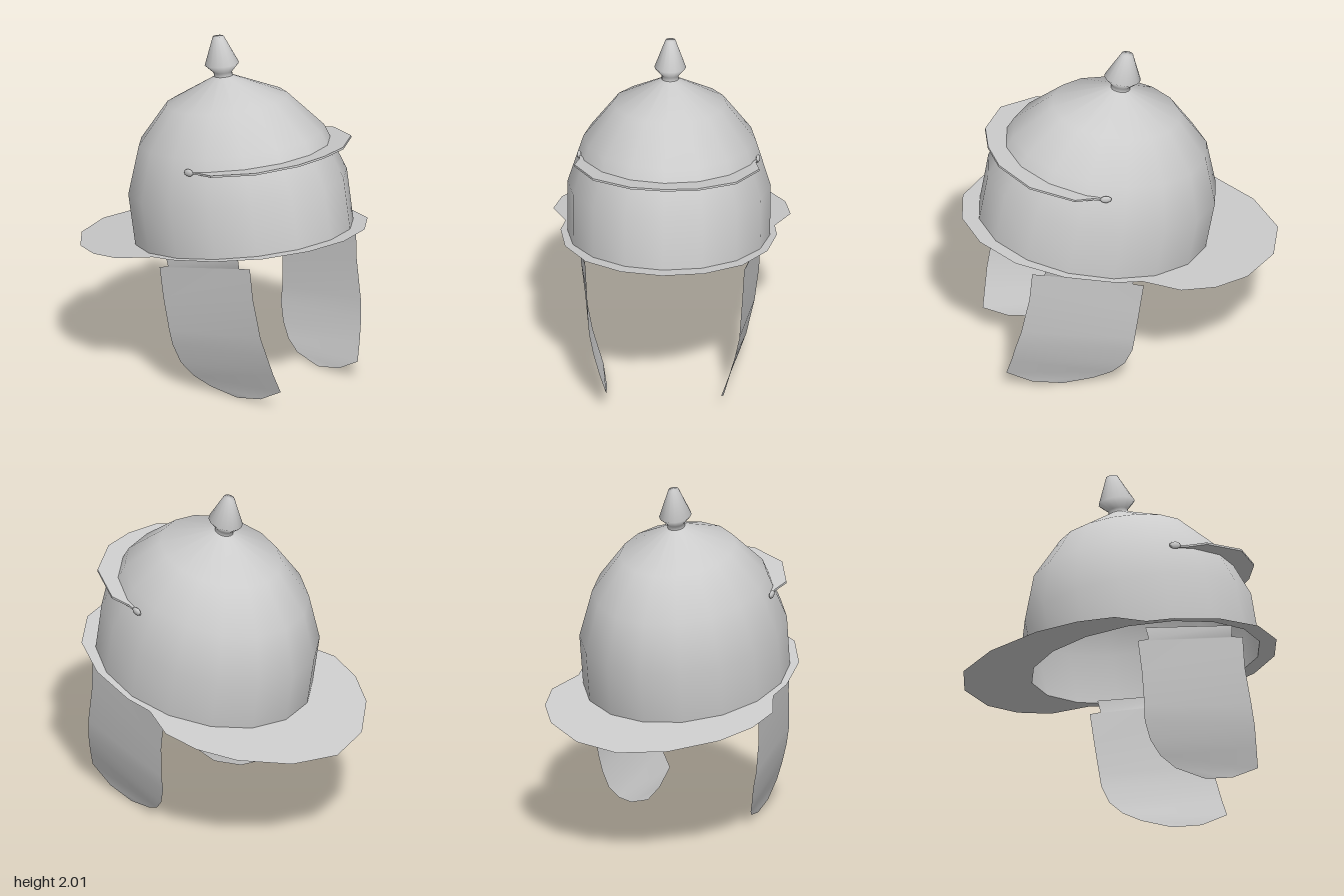
import * as THREE from 'three';

const TILT = THREE.MathUtils.degToRad(10);
const WIDTH = 0.86; // the helmet is narrower than it is long

function material() {
  return new THREE.MeshStandardMaterial({ color: 0xcccccc, side: THREE.DoubleSide });
}

function part(name, geometry) {
  const mesh = new THREE.Mesh(geometry, material());
  mesh.name = name;
  return mesh;
}

// Oval body turned from a [radius, height] profile
function ovalLathe(profile) {
  const points = profile.map(([r, y]) => new THREE.Vector2(r, y));
  return new THREE.LatheGeometry(points, 16).scale(WIDTH, 1, 1);
}

// Closed outline in plan from one half ([x, z] pairs), mirrored across x = 0
function mirrored(half) {
  const other = half.filter(([x]) => x > 0).reverse().map(([x, z]) => [-x, z]);
  return [...half, ...other].map(([x, z]) => new THREE.Vector2(x, -z));
}

function ovalPoints(a, b, from, to) {
  const pts = [];
  for (let i = from; i <= to; i++) {
    const t = (i * Math.PI) / 8;
    pts.push([a * Math.sin(t), b * Math.cos(t)]);
  }
  return pts;
}

// Flat flange around the rim, wide at the neck
function brimGeometry() {
  const half = [
    [0, -1.10], [0.28, -1.015], [0.52, -0.807], [0.64, -0.594], [0.68, -0.38], [0.60, -0.167],
    [0.62, -0.005], [0.58, 0.29], [0.45, 0.553], [0.24, 0.721], [0, 0.777],
  ];
  const shape = new THREE.Shape(mirrored(half));
  const rim = ovalPoints(0.675 * WIDTH, 0.675, 0, 15).map(([x, z]) => new THREE.Vector2(x, -z));
  shape.holes.push(new THREE.Path(rim));
  return new THREE.ShapeGeometry(shape).rotateX(-Math.PI / 2);
}

// Thin crescent peak across the brow
function browGeometry() {
  const outer = [[0, 0.71], [0.19, 0.686], [0.41, 0.549], [0.53, 0.306], [0.505, 0.19], [0.52, 0.09]];
  const inner = ovalPoints(0.505, 0.59, -3, 3);
  const left = outer.slice(1).reverse().map(([x, z]) => [-x, z]);
  const outline = [...left, ...outer, ...inner.reverse()];
  const shape = new THREE.Shape(outline.map(([x, z]) => new THREE.Vector2(x, -z)));
  return new THREE.ExtrudeGeometry(shape, { depth: 0.012, bevelEnabled: false })
    .rotateX(-Math.PI / 2).translate(0, 0.488, 0);
}

// Curved cheek plate: rows from back edge to front edge, each corner as [x, y, z]
function cheekGeometry(side) {
  const rows = [
    [[0.515, 0.825, 0.01], [0.48, 0.92, 0.535]],
    [[0.515, 0.755, 0.03], [0.468, 0.855, 0.535]],
    [[0.515, 0.735, -0.035], [0.455, 0.865, 0.605]],
    [[0.51, 0.55, -0.01], [0.445, 0.68, 0.62]],
    [[0.485, 0.35, 0.012], [0.43, 0.45, 0.665]],
    [[0.465, 0.26, 0.02], [0.405, 0.34, 0.69]],
    [[0.44, 0.155, 0.06], [0.37, 0.22, 0.71]],
    [[0.405, 0.08, 0.13], [0.33, 0.11, 0.73]],
    [[0.37, 0.03, 0.23], [0.335, 0.03, 0.58]],
    [[0.345, 0, 0.40], [0.34, 0, 0.42]],
  ];
  const positions = [];
  const index = [];
  rows.forEach((row, i) => {
    for (const [x, y, z] of row) positions.push(side * x, y, z);
    if (i === 0) return;
    const a = 2 * i - 2, b = a + 1, c = a + 2, d = a + 3;
    if (side > 0) index.push(a, b, c, b, d, c);
    else index.push(a, c, b, b, c, d);
  });
  const geometry = new THREE.BufferGeometry();
  geometry.setAttribute('position', new THREE.Float32BufferAttribute(positions, 3));
  geometry.setIndex(index);
  geometry.computeVertexNormals();
  return geometry;
}

export function createModel() {
  const model = new THREE.Group();
  model.name = 'helmet';

  // Bowl, brim, brow peak and finial share one tilted frame
  const shell = new THREE.Group();
  shell.name = 'shell';
  shell.position.set(0, 0.855, 0.155);
  shell.rotation.x = -TILT;
  model.add(shell);

  shell.add(part('bowl', ovalLathe([
    [0.675, 0], [0.677, 0.3], [0.574, 0.574], [0.377, 0.786], [0.057, 0.929],
  ])));
  shell.add(part('finial', ovalLathe([
    [0.057, 0.929], [0.057, 0.952], [0.106, 1.0], [0.034, 1.163], [0, 1.163],
  ])));
  shell.add(part('brim', brimGeometry()));
  shell.add(part('browPeak', browGeometry()));

  for (const side of [1, -1]) {
    const name = side > 0 ? 'left' : 'right';
    // Small pivot at each end of the brow peak
    const pivot = part(name + 'BrowPivot', new THREE.SphereGeometry(1, 8, 6).scale(0.012, 0.022, 0.035));
    pivot.position.set(side * 0.513, 0.5, 0.12);
    shell.add(pivot);
    model.add(part(name + 'CheekGuard', cheekGeometry(side)));
  }
  return model;
}
